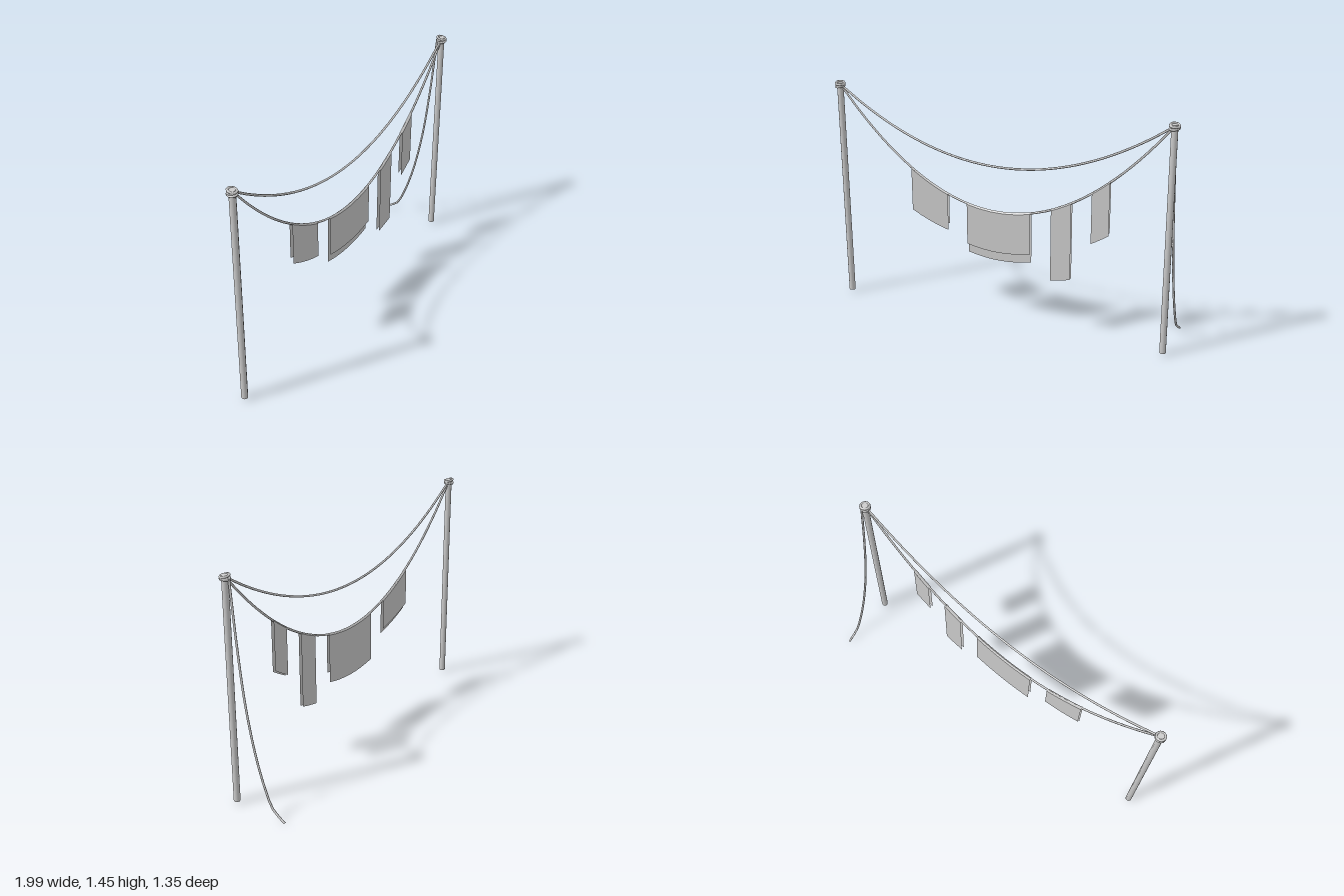
import * as THREE from 'three';

const POST_L = new THREE.Vector3(-0.963, 0, 0.638);
const POST_R = new THREE.Vector3(0.96, 0, -0.345);
const TOP = 1.435;
const ROPE_R = 0.007;

const grey = new THREE.MeshStandardMaterial({ color: 0xcccccc });
const cloth = new THREE.MeshStandardMaterial({ color: 0xcccccc, side: THREE.DoubleSide, flatShading: true });

// Point on a rope hanging between the posts, t from 0 to 1
function sagPoint(t, low) {
  const p = POST_L.clone().lerp(POST_R, t);
  const k = 2 * t - 1;
  p.y = low + (TOP - low) * k * k;
  return p;
}

function addMesh(parent, name, geometry, material = grey) {
  const mesh = new THREE.Mesh(geometry, material);
  mesh.name = name;
  parent.add(mesh);
  return mesh;
}

function rope(parent, name, points, segments) {
  const curve = new THREE.CatmullRomCurve3(points);
  return addMesh(parent, name, new THREE.TubeGeometry(curve, segments, ROPE_R, 6));
}

// Cloth folded over the lower rope; front and back are [left drop, right drop]
function hangingCloth(x0, x1, front, back, low) {
  const geo = new THREE.PlaneGeometry(1, 1, 8, 4);
  const pos = geo.attributes.position;
  const along = POST_R.clone().sub(POST_L);
  const normal = new THREE.Vector3(-along.z, 0, along.x).normalize();
  const offsets = [0.01, 0.01, 0, -0.01, -0.01];
  for (let i = 0; i < pos.count; i++) {
    const col = i % 9, row = Math.floor(i / 9);
    const u = col / 8;
    const x = x0 + (x1 - x0) * u;
    const p = sagPoint((x - POST_L.x) / along.x, low);
    const drops = [
      THREE.MathUtils.lerp(front[0], front[1], u), 0.002, -0.008, 0.002,
      THREE.MathUtils.lerp(back[0], back[1], u),
    ];
    p.addScaledVector(normal, offsets[row]);
    pos.setXYZ(i, p.x, p.y - drops[row], p.z);
  }
  geo.computeVertexNormals();
  return geo;
}

export function createModel() {
  const model = new THREE.Group();
  model.name = 'clothesline';

  // Posts with rope wraps at their tops
  [[POST_L, 'left'], [POST_R, 'right']].forEach(([base, side]) => {
    const post = new THREE.Group();
    post.name = side === 'left' ? 'rightPost' : 'leftPost';
    post.position.copy(base);
    model.add(post);
    addMesh(post, 'pole', new THREE.CylinderGeometry(0.02, 0.02, 1.425, 10)).position.y = 0.7325;
    const knot = new THREE.Group();
    knot.name = 'knot';
    post.add(knot);
    [[1.422, 0.1, 0.12], [1.432, -0.18, 0.1], [1.441, 0.12, -0.2]].forEach(([y, tx, tz], i) => {
      const ring = addMesh(knot, 'wrap' + (i + 1), new THREE.TorusGeometry(0.026, 0.0075, 6, 16));
      ring.position.y = y;
      ring.rotation.set(Math.PI / 2 + tx, tz, 0);
    });
  });

  // Two sagging lines
  const LOW = 0.748;
  [['upperLine', 1.04], ['lowerLine', LOW]].forEach(([name, low]) => {
    const points = Array.from({ length: 21 }, (_, i) => sagPoint(0.01 + 0.98 * i / 20, low));
    rope(model, name, points, 40);
  });

  // Loose rope end trailing to the ground: [share of the reach, height]
  const tailEnd = new THREE.Vector3(0.79, 0, -0.673);
  const tail = [[0.08, 1.43], [0.175, 1.02], [0.29, 0.67], [0.465, 0.36], [0.64, 0.163], [0.765, 0.07], [1, 0.01]];
  rope(model, 'looseRope', tail.map(([s, y]) => {
    const p = POST_R.clone().lerp(tailEnd, s);
    p.y = y;
    return p;
  }), 28).name = 'looseRope';

  // Washing: [x start, x end, front drops, back drops]
  const pieces = [
    [-0.525, -0.302, [0.275, 0.237], [0.24, 0.2]],
    [-0.186, 0.193, [0.265, 0.265], [0.327, 0.327]],
    [0.312, 0.427, [0.462, 0.495], [0.462, 0.495]],
    [0.54, 0.638, [0.318, 0.335], [0.308, 0.323]],
  ];
  pieces.forEach(([x0, x1, front, back], i) =>
    addMesh(model, 'cloth' + (i + 1), hangingCloth(x0, x1, front, back, LOW), cloth));

  return model;
}
